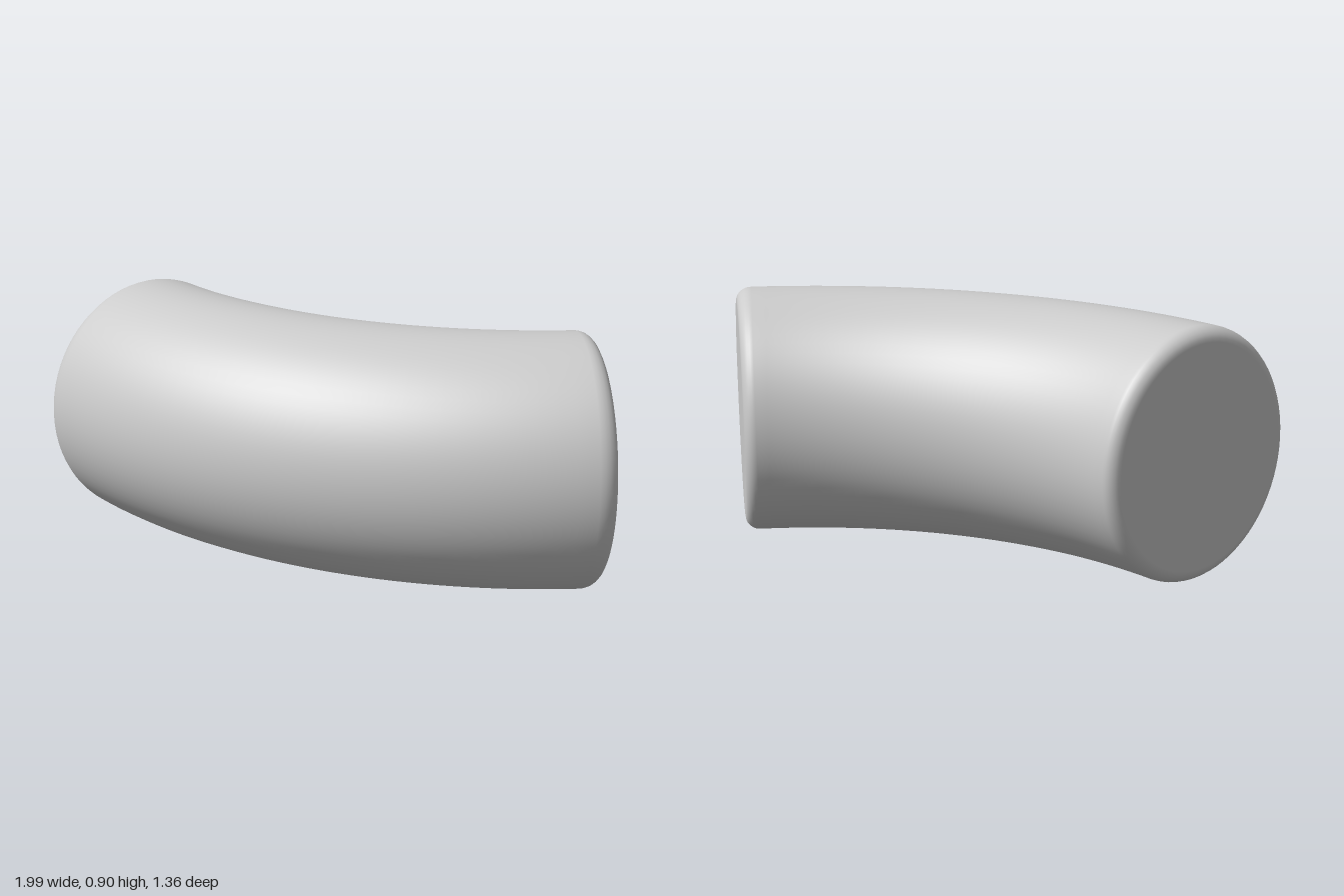
import * as THREE from 'three';
import { mergeVertices } from 'three/addons/utils/BufferGeometryUtils.js';

const CENTRE_X = 0.73, CENTRE_Z = -1.53; // centre of the bend
const BEND = 1.775;                      // radius of the centre line
const HALF_WIDTH = 0.425, HALF_HEIGHT = 0.4525;
const START = THREE.MathUtils.degToRad(-52.4);
const END = THREE.MathUtils.degToRad(7.2);
const FILLET = 0.055;

// Half profile of a straight rod with flat ends and rounded rims
function rodProfile(length) {
  const points = [new THREE.Vector2(0, 0), new THREE.Vector2(0.5, 0)];
  const steps = 6, sections = 32;
  for (let i = 0; i <= steps; i++) {
    const a = (i / steps) * Math.PI / 2;
    points.push(new THREE.Vector2(1 - FILLET * 2 * (1 - Math.sin(a)), FILLET * (1 - Math.cos(a))));
  }
  for (let i = 1; i <= sections / 2; i++) {
    points.push(new THREE.Vector2(1, FILLET + (length / 2 - FILLET) * i / (sections / 2)));
  }
  // mirror the first half to finish the other end
  const mirrored = points.slice(0, -1).reverse().map(p => new THREE.Vector2(p.x, length - p.y));
  return points.concat(mirrored);
}

// Wrap the rod around the vertical axis through the bend centre
function bentRod() {
  let geometry = new THREE.LatheGeometry(rodProfile(BEND * (END - START)), 72);
  const pos = geometry.attributes.position;
  for (let i = 0; i < pos.count; i++) {
    const angle = START + pos.getY(i) / BEND;
    const radius = BEND + pos.getX(i) * HALF_WIDTH;
    const y = HALF_HEIGHT * (1 + pos.getZ(i));
    pos.setXYZ(i, CENTRE_X + radius * Math.sin(angle), y, CENTRE_Z + radius * Math.cos(angle));
  }
  geometry.deleteAttribute('normal');
  geometry.deleteAttribute('uv');
  geometry = mergeVertices(geometry, 1e-5);
  geometry.computeVertexNormals();
  return geometry;
}

export function createModel() {
  const model = new THREE.Group();
  const rod = new THREE.Mesh(bentRod(), new THREE.MeshStandardMaterial({ color: 0xcccccc }));
  rod.name = 'curvedRod';
  model.add(rod);
  return model;
}
